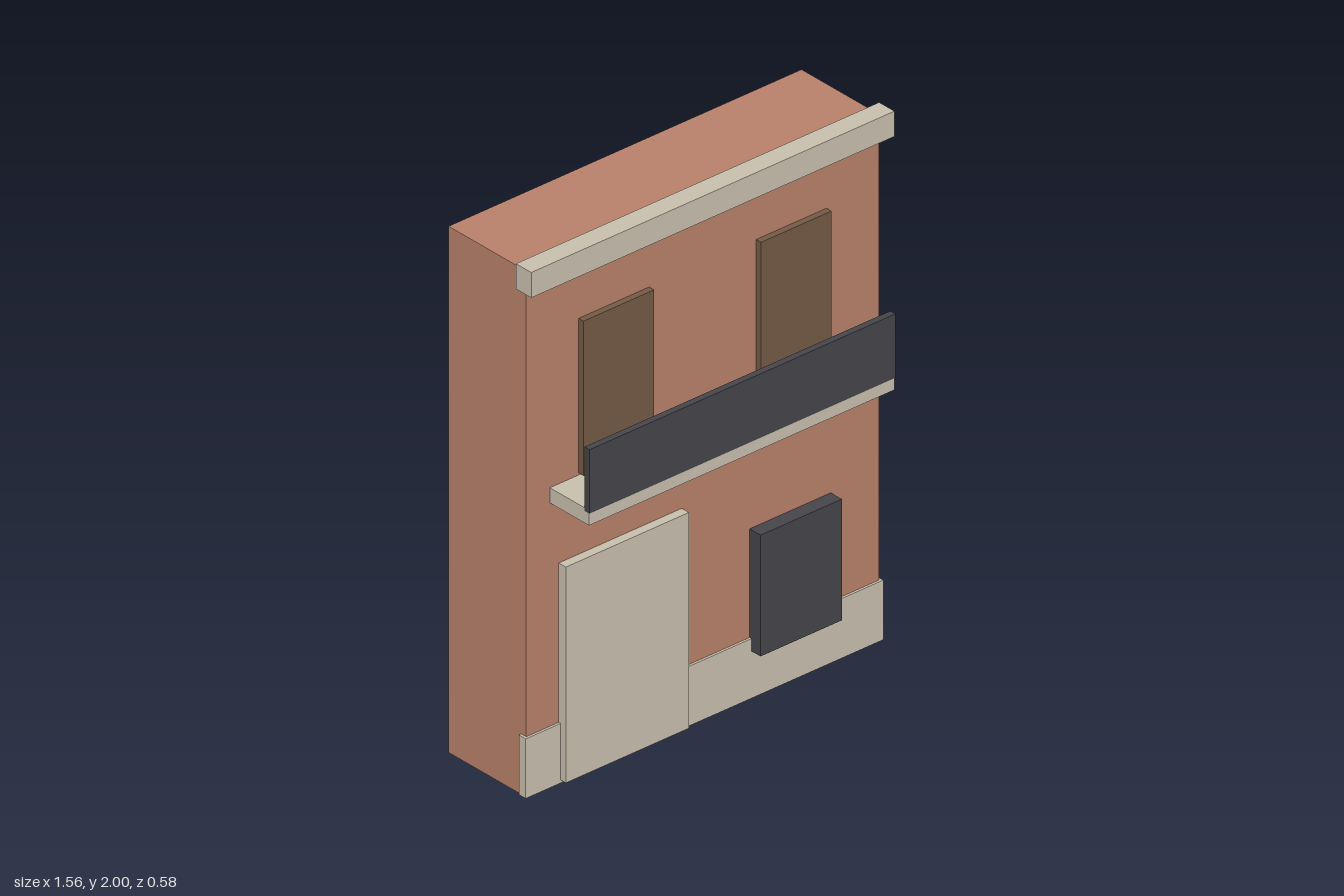
import * as THREE from 'three';

const material = (color) => new THREE.MeshStandardMaterial({ color });

export function createModel() {
  const house = new THREE.Group();
  house.name = 'townhouseFacade';

  const brick = material(0xb8806a);
  const stone = material(0xc8bfad);
  const iron = material(0x45454a);
  const wood = material(0x745a45);

  // Box given by its extents along each axis
  const block = (name, mat, [x0, x1], [y0, y1], [z0, z1]) => {
    const mesh = new THREE.Mesh(new THREE.BoxGeometry(x1 - x0, y1 - y0, z1 - z0), mat);
    mesh.position.set((x0 + x1) / 2, (y0 + y1) / 2, (z0 + z1) / 2);
    mesh.name = name;
    house.add(mesh);
  };

  // Main volume with plinth and cornice
  block('wall', brick, [-0.76, 0.76], [0, 1.975], [-0.288, 0.093]);
  block('plinth', stone, [-0.77, 0.77], [0.003, 0.227], [0.068, 0.102]);
  block('cornice', stone, [-0.782, 0.782], [1.905, 2], [0.068, 0.143]);

  // Ground floor
  block('doorSurround', stone, [-0.62, -0.09], [0.015, 0.825], [0.08, 0.128]);
  block('groundWindow', iron, [0.202, 0.552], [0.18, 0.635], [0.08, 0.147]);

  // Upper floor shutters, mirrored
  for (const side of [-1, 1]) {
    const x = side * 0.382;
    block(side < 0 ? 'rightShutter' : 'leftShutter', wood,
      [x - 0.152, x + 0.152], [1.13, 1.71], [0.08, 0.117]);
  }

  // Balcony
  block('balconySlab', stone, [-0.658, 0.658], [1.065, 1.122], [0.08, 0.285]);
  block('balconyRailing', iron, [-0.659, 0.659], [1.111, 1.351], [0.263, 0.288]);

  return house;
}
